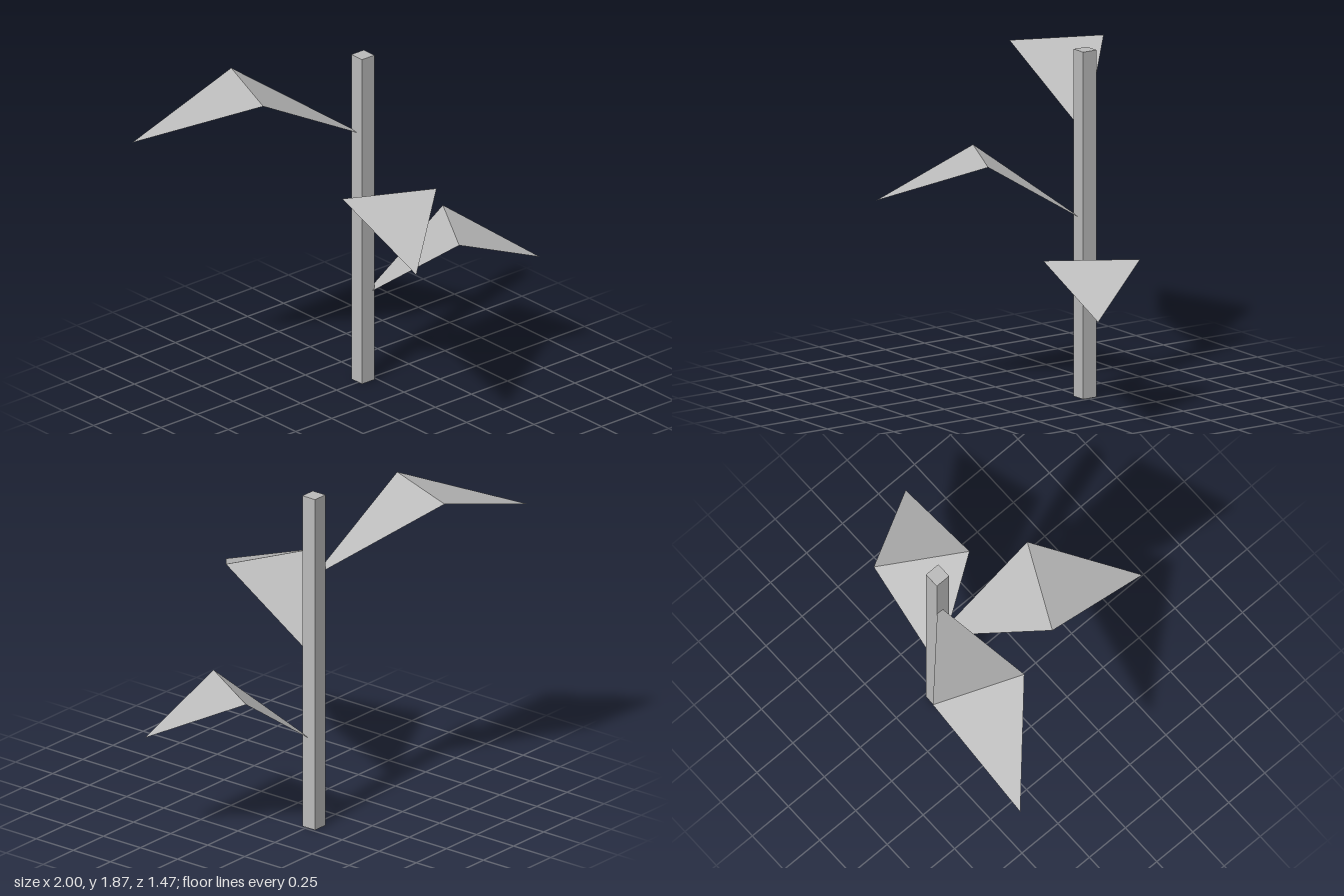
import * as THREE from 'three';

const STEM = { x: 0.193, z: -0.263, width: 0.086, height: 1.87 };

// Folded leaf: an inner triangle rising from the stem and an outer one dropping to the tip
function makeLeaf(name, foldY, foldA, foldB, tip, material) {
  const base = [STEM.x, foldY - 0.37, STEM.z];
  const a = [foldA[0], foldY, foldA[1]];
  const b = [foldB[0], foldY, foldB[1]];
  const end = [tip[0], foldY - 0.22, tip[1]];
  const geometry = new THREE.BufferGeometry();
  geometry.setAttribute('position',
    new THREE.Float32BufferAttribute([base, a, b, a, end, b].flat(), 3));
  geometry.computeVertexNormals();
  const leaf = new THREE.Mesh(geometry, material);
  leaf.name = name;
  return leaf;
}

export function createModel() {
  const group = new THREE.Group();
  group.name = 'plant';
  const grey = new THREE.MeshStandardMaterial({
    name: 'light grey', color: 0xbcbcbc, side: THREE.DoubleSide, flatShading: true,
  });

  // Square stem
  const stem = new THREE.Mesh(new THREE.BoxGeometry(STEM.width, STEM.height, STEM.width), grey);
  stem.name = 'stem';
  stem.position.set(STEM.x, STEM.height / 2, STEM.z);
  group.add(stem);

  // Three leaves spiralling up the stem: fold height, fold corners and tip as [x, z]
  group.add(
    makeLeaf('lowerLeaf', 0.85, [0.463, 0.195], [0.727, -0.24], [1, -0.0 + 0.22], grey),
    makeLeaf('middleLeaf', 1.317, [-0.282, 0.12], [0.176, 0.345], [-0.298, 0.73], grey),
    makeLeaf('upperLeaf', 1.782, [-0.31, -0.735], [-0.497, -0.263], [-1, -0.73], grey),
  );
  return group;
}
